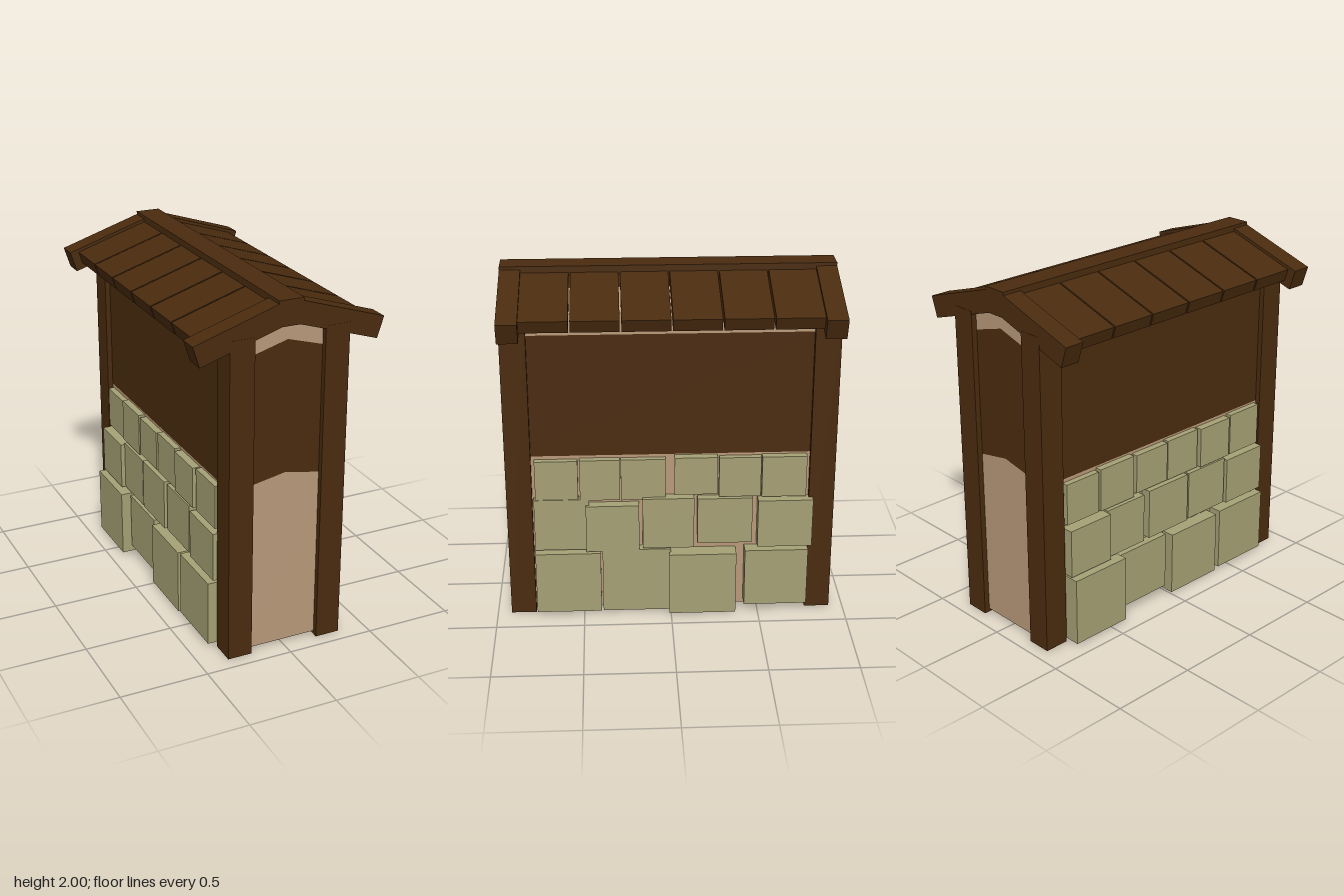
import * as THREE from 'three';

export function createModel() {
  const root = new THREE.Group();
  const make = (name, color) => {
    const m = new THREE.MeshStandardMaterial({ color });
    m.name = name;
    return m;
  };
  const wood = make('dark wood', 0x4a2b0e);
  const plaster = make('tan plaster', 0xb89979);
  const stone = make('olive stone', 0xa5a074);

  const add = (name, geo, mat, x = 0, y = 0, z = 0, parent = root) => {
    const mesh = new THREE.Mesh(geo, mat);
    mesh.name = name;
    mesh.position.set(x, y, z);
    parent.add(mesh);
    return mesh;
  };
  const box = (name, x0, x1, y0, y1, z0, z1, mat, parent) =>
    add(name, new THREE.BoxGeometry(x1 - x0, y1 - y0, z1 - z0), mat,
      (x0 + x1) / 2, (y0 + y1) / 2, (z0 + z1) / 2, parent);
  // Extrude a front outline along z, centred on z = 0
  const prism = (points, depth) => new THREE.ExtrudeGeometry(
    new THREE.Shape(points.map(p => new THREE.Vector2(...p))),
    { depth, bevelEnabled: false }).translate(0, 0, -depth / 2);

  // Wall core in three gabled bands: [bottom edge, bottom centre, top edge, top centre]
  const W = 0.31;
  const band = (name, e0, c0, e1, c1, mat) => add(name,
    prism([[-W, e0], [0, c0], [W, e0], [W, e1], [0, c1], [-W, e1]], 1.78), mat);
  band('lowerWall', 0.02, 0.02, 0.98, 1.04, plaster);
  band('middleWall', 0.98, 1.04, 1.69, 1.78, wood);
  band('upperWall', 1.69, 1.78, 1.81, 1.9, plaster);

  // Corner posts
  for (const x of [-0.27, 0.27])
    for (const z of [-0.85, 0.85])
      add('cornerPost', new THREE.BoxGeometry(0.14, 1.83, 0.143), wood, x, 0.915, z);

  // Ridge beam
  box('ridgeBeam', -0.07, 0.07, 1.86, 2, -0.92, 0.92, wood);

  // Sloped boards, given by outer top corner, and thickness square to the slope
  const slope = 0.32, len = Math.hypot(1, slope);
  const board = (side, xo, yo, t) => {
    const nx = t * slope / len, ny = t / len;
    const yi = yo + slope * (xo - 0.02);
    const pts = [[0.02, yi], [0.02, yi - ny - slope * nx], [xo - nx, yo - ny], [xo, yo]];
    return side > 0 ? pts : pts.map(([x, y]) => [-x, y]).reverse();
  };
  for (const side of [-1, 1]) {
    for (const z of [-0.863, 0.863])
      add('gableBeam', prism(board(side, 0.54, 1.832, 0.122), 0.114), wood, 0, 0, z);
    for (let i = 0; i < 6; i++)
      add('roofPlank', prism(board(side, 0.488, 1.83, 0.073), 0.261), wood, 0, 0, -0.676 + 0.2704 * i);
  }

  // Facing stones: [z start, z end, bottom, top, outer x]
  const leftStones = [
    [0.40, 0.77, 0.025, 0.40, 0.385], [0.00, 0.39, 0.015, 0.41, 0.365],
    [-0.37, 0.01, 0.01, 0.39, 0.405], [-0.78, -0.42, 0.05, 0.40, 0.39],
    [0.46, 0.77, 0.41, 0.725, 0.35], [0.18, 0.48, 0.405, 0.69, 0.37],
    [-0.13, 0.16, 0.42, 0.73, 0.37], [-0.46, -0.15, 0.44, 0.72, 0.36],
    [-0.80, -0.49, 0.42, 0.71, 0.38],
    [0.52, 0.76, 0.72, 0.96, 0.345], [0.285, 0.51, 0.72, 0.965, 0.35],
    [0.03, 0.28, 0.715, 0.963, 0.345], [-0.26, -0.02, 0.75, 0.975, 0.36],
    [-0.505, -0.27, 0.725, 0.965, 0.345], [-0.76, -0.51, 0.725, 0.97, 0.355]
  ];
  const rightStones = [
    [-0.77, -0.40, 0.015, 0.41, 0.42], [-0.39, -0.03, 0.06, 0.40, 0.365],
    [0.00, 0.37, 0.012, 0.39, 0.39], [0.40, 0.77, 0.025, 0.40, 0.39],
    [-0.77, -0.48, 0.42, 0.70, 0.385], [-0.48, -0.20, 0.42, 0.71, 0.36],
    [-0.17, 0.14, 0.43, 0.725, 0.37], [0.16, 0.46, 0.43, 0.72, 0.36],
    [0.48, 0.78, 0.42, 0.70, 0.365],
    [-0.76, -0.53, 0.72, 0.96, 0.345], [-0.52, -0.27, 0.72, 0.97, 0.35],
    [-0.25, -0.01, 0.735, 0.965, 0.35], [0.00, 0.24, 0.73, 0.97, 0.345],
    [0.26, 0.50, 0.725, 0.965, 0.355], [0.52, 0.76, 0.72, 0.97, 0.345]
  ];
  const facing = (name, list, side) => {
    const group = new THREE.Group();
    group.name = name;
    for (const [z0, z1, y0, y1, xo] of list) {
      const a = side * 0.15, b = side * xo;
      box('facingStone', Math.min(a, b), Math.max(a, b), y0, y1, z0, z1, stone, group);
    }
    root.add(group);
  };
  facing('leftStoneFacing', leftStones, 1);
  facing('rightStoneFacing', rightStones, -1);

  return root;
}
